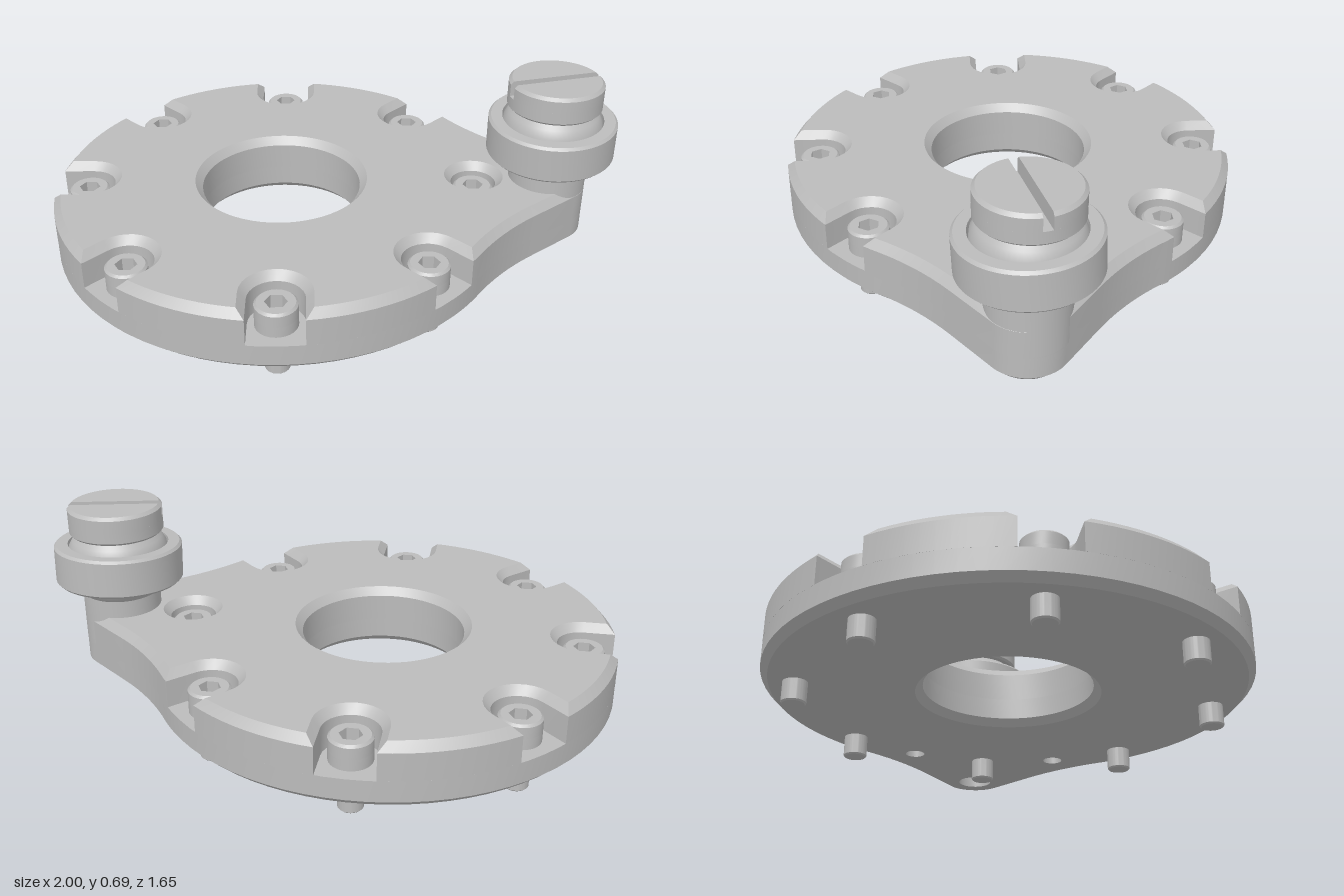
import * as THREE from 'three';
import { toCreasedNormals } from 'three/addons/utils/BufferGeometryUtils.js';

const V = (x, z) => new THREE.Vector2(x, z);
const rad = THREE.MathUtils.degToRad;
const DISC_R = 0.825, BOLT_R = 0.71, TIP = 0.98, TIP_R = 0.14, FILLET = rad(35.8);

// Circle in the ground plane, running from +x towards +z
function circle(x, z, r, n = 48) {
  return Array.from({ length: n }, (_, i) => {
    const a = (i / n) * Math.PI * 2;
    return V(x + r * Math.cos(a), z + r * Math.sin(a));
  });
}

// Solid through stacked levels { y, outer, holes } with matching point counts
function loft(levels) {
  const pos = [];
  const tri = (...pts) => pts.forEach(([p, y]) => pos.push(p.x, y, p.y));
  const wall = (lo, hi, y0, y1, inward) => lo.forEach((a, i) => {
    const j = (i + 1) % lo.length;
    const q = [[a, y0], [hi[i], y1], [lo[j], y0], [hi[j], y1]];
    if (inward) { tri(q[0], q[2], q[1]); tri(q[2], q[3], q[1]); }
    else { tri(q[0], q[1], q[2]); tri(q[2], q[1], q[3]); }
  });
  const cap = ({ y, outer, holes = [] }, up) => {
    const all = [outer, ...holes].flat();
    for (const [a, b, c] of THREE.ShapeUtils.triangulateShape(outer, holes)) {
      const area = THREE.ShapeUtils.area([all[a], all[b], all[c]]);
      const order = (area > 0) === up ? [a, c, b] : [a, b, c];
      tri(...order.map((i) => [all[i], y]));
    }
  };
  for (let i = 0; i + 1 < levels.length; i++) {
    const lo = levels[i], hi = levels[i + 1];
    wall(lo.outer, hi.outer, lo.y, hi.y, false);
    (lo.holes || []).forEach((h, k) => wall(h, hi.holes[k], lo.y, hi.y, true));
  }
  cap(levels[0], false);
  cap(levels[levels.length - 1], true);
  const g = new THREE.BufferGeometry();
  g.setAttribute('position', new THREE.Float32BufferAttribute(pos, 3));
  return toCreasedNormals(g, 0.5);
}

const lathe = (pts) => toCreasedNormals(
  new THREE.LatheGeometry(pts.map(([r, y]) => V(r, y)), 64), 0.5);

// Disc with a tapering ear along +x, inset by d, optionally notched by bolt pockets
function outline(d, pockets) {
  const pts = [];
  const ear = [];
  const s = V(1.064, 0.112), c = V(0.766, 0.339);
  const start = V(DISC_R * Math.cos(FILLET), DISC_R * Math.sin(FILLET));
  const from = s.clone().lerp(c, 0.55);
  const curve = new THREE.QuadraticBezierCurve(from, c, start);
  for (let i = 0; i <= 8; i++) {
    const p = curve.getPoint(i / 8), t = curve.getTangent(i / 8);
    ear.push(V(p.x - t.y * d, p.y + t.x * d));
  }
  // Keep the inset on the inner side of the ear
  if (d > 0) ear.forEach((p, i) => {
    const q = curve.getPoint(i / 8), t = curve.getTangent(i / 8);
    p.set(q.x - Math.abs(t.y) * d, q.y - Math.abs(t.x) * d);
  });
  for (let i = 0; i <= 16; i++) {
    const a = rad(-52 + 6.5 * i);
    pts.push(V(TIP + (TIP_R - d) * Math.cos(a), (TIP_R - d) * Math.sin(a)));
  }
  pts.push(...ear);
  const R = DISC_R - d, w = 0.095 + d;
  const delta = pockets ? Math.asin(w / R) : 0;
  let a0 = FILLET;
  for (let k = 1; k <= 8; k++) {
    const mid = rad(45 * k);
    const a1 = k === 8 ? Math.PI * 2 - FILLET : mid - delta;
    const n = 10;
    for (let i = 1; i < n; i++) {
      const a = a0 + (a1 - a0) * (i / n);
      pts.push(V(R * Math.cos(a), R * Math.sin(a)));
    }
    if (k === 8) break;
    const put = (u, v) => pts.push(V(u, v).rotateAround(V(0, 0), mid));
    const edge = Math.sqrt(R * R - w * w);
    if (pockets) {
      put(edge, -w);
      for (let i = 0; i <= 14; i++) {
        const t = -Math.PI / 2 - (Math.PI * i) / 14;
        put(BOLT_R + w * Math.cos(t), w * Math.sin(t));
      }
      put(edge, w);
    } else put(R, 0);
    a0 = mid + delta;
  }
  pts.push(...ear.reverse().map((p) => V(p.x, -p.y)));
  return pts;
}

// Half of the slotted cap, on the +z side of the slot
function halfCap(r) {
  const a0 = Math.asin(0.016 / r);
  return Array.from({ length: 33 }, (_, i) => {
    const a = a0 + ((Math.PI - 2 * a0) * i) / 32;
    return V(r * Math.cos(a), r * Math.sin(a));
  });
}

export function createModel() {
  const metal = new THREE.MeshStandardMaterial({ color: 0xbbbbbb });
  metal.name = 'grey metal';
  const model = new THREE.Group();
  model.name = 'flangePlate';
  const add = (parent, name, geometry) => {
    const m = new THREE.Mesh(geometry, metal);
    m.name = name;
    parent.add(m);
    return m;
  };

  // Plate, laid out with its ear along local +x
  const plate = new THREE.Group();
  plate.name = 'plate';
  plate.position.x = -0.175;
  plate.rotation.y = rad(15.5);
  model.add(plate);

  const dowels = [-1, 1].map((s) =>
    circle(BOLT_R * Math.cos(rad(22.5)), s * BOLT_R * Math.sin(rad(22.5)), 0.036, 24));
  const low = (y, d, bore) => ({
    y, outer: outline(d, false),
    holes: [circle(0, 0, bore, 64), circle(TIP, 0, 0.065, 32), ...dowels],
  });
  add(plate, 'lowerPlate', loft([low(0.077, 0.025, 0.315), low(0.102, 0, 0.29), low(0.176, 0, 0.29)]));

  const high = (y, d) => ({
    y, outer: outline(d, true),
    holes: [circle(0, 0, 0.29 + d, 64), circle(BOLT_R, 0, 0.082 + d, 40)],
  });
  add(plate, 'upperPlate', loft([high(0.176, 0), high(0.273, 0), high(0.302, 0.026)]));

  // Socket head bolts
  const shank = lathe([[0, 0], [0.037, 0], [0.042, 0.005], [0.042, 0.18]]);
  const headBase = loft([0.17, 0.215].map((y) => ({ y, outer: circle(0, 0, 0.072, 40) })));
  const headRim = loft([[0.215, 0.072], [0.255, 0.072], [0.263, 0.064]].map(([y, r]) =>
    ({ y, outer: circle(0, 0, r, 40), holes: [circle(0, 0, 0.038, 6)] })));
  for (let k = 0; k < 8; k++) {
    const bolt = new THREE.Group();
    bolt.name = 'bolt' + (k + 1);
    const a = rad(45 * k);
    bolt.position.set(BOLT_R * Math.cos(a), 0, BOLT_R * Math.sin(a));
    add(bolt, 'boltShank', shank);
    add(bolt, 'boltHead', headBase);
    add(bolt, 'boltSocket', headRim);
    plate.add(bolt);
  }

  // Post with roller and slotted cap
  const post = new THREE.Group();
  post.name = 'rollerPost';
  post.position.set(0.769, 0, -0.263);
  model.add(post);
  add(post, 'pillar', lathe([[0.14, 0.18], [0.14, 0.365]]));
  add(post, 'ballSeat', lathe([[0.14, 0.365], [0.16, 0.385], [0.175, 0.415], [0.181, 0.475],
    [0.175, 0.54], [0.16, 0.567], [0.138, 0.592]]));
  const roller = add(post, 'rollerRing', lathe([[0.18, -0.07], [0.22, -0.07], [0.229, -0.061],
    [0.229, 0.061], [0.22, 0.07], [0.18, 0.07], [0.18, -0.07]]));
  roller.position.y = 0.476;
  roller.rotation.x = 0.045;

  const cap = new THREE.Group();
  cap.name = 'slottedCap';
  cap.rotation.y = rad(29);
  post.add(cap);
  add(cap, 'capBase', lathe([[0, 0.59], [0.16, 0.59], [0.168, 0.598], [0.168, 0.638], [0, 0.638]]));
  const half = loft([[0.638, 0.168], [0.682, 0.168], [0.693, 0.157]].map(([y, r]) =>
    ({ y, outer: halfCap(r) })));
  add(cap, 'capHalfFront', half);
  add(cap, 'capHalfBack', half).rotation.y = Math.PI;
  return model;
}
